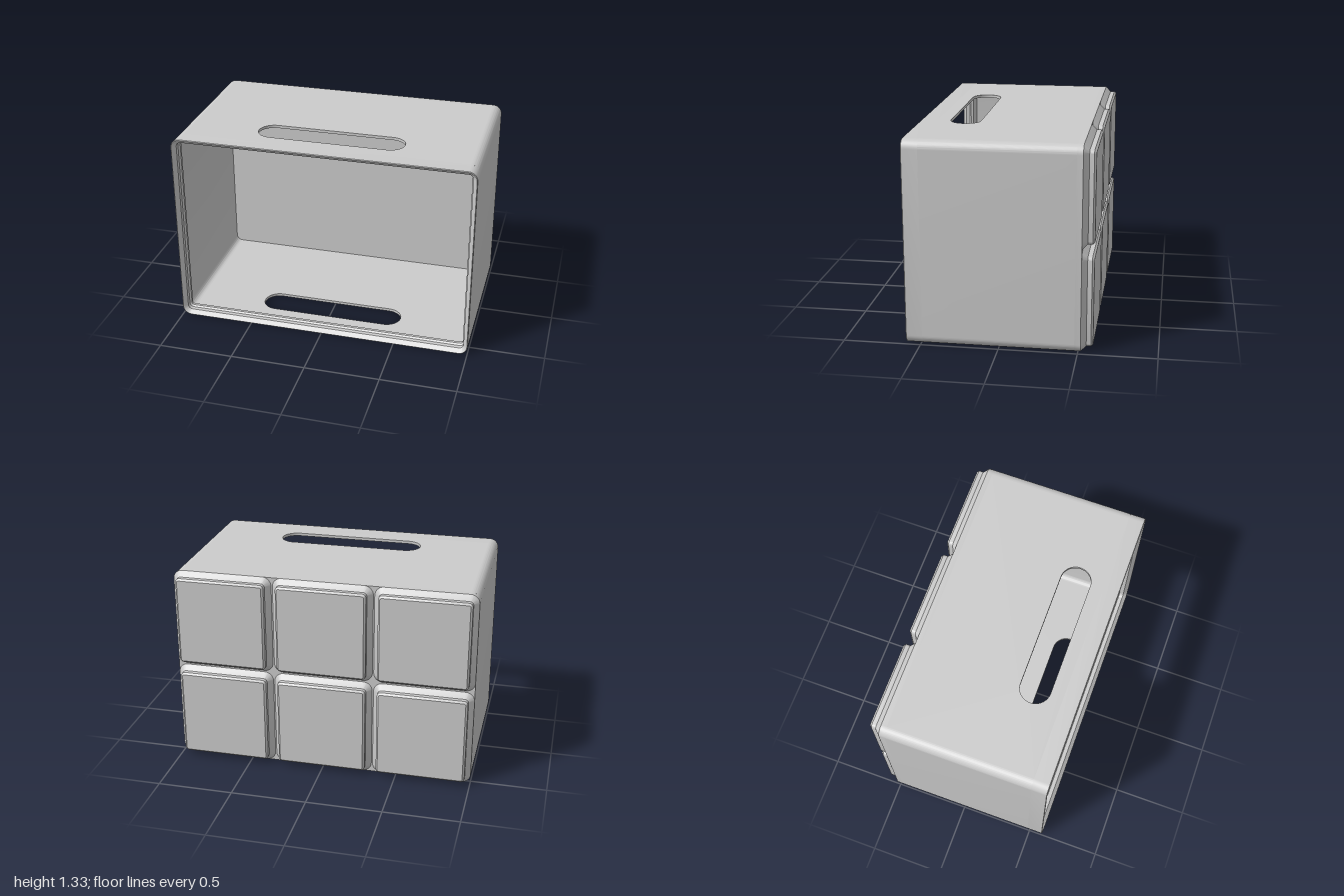
import * as THREE from 'three';
import { toCreasedNormals } from 'three/addons/utils/BufferGeometryUtils.js';

const W = 2, H = 1.332, R = 0.06, T = 0.019;       // outer size, corner radius, wall thickness
const BACK = -0.518, FLOOR = -0.48, LIP = 0.487, FRONT = 0.594;
const material = new THREE.MeshStandardMaterial({ color: 0xcccccc });

// Counter-clockwise rounded rectangle centred on the origin
function ring(w, h, r, steps = 8) {
  const pts = [];
  for (let c = 0; c < 4; c++) {
    const sx = c === 0 || c === 3 ? 1 : -1, sy = c < 2 ? 1 : -1;
    for (let i = 0; i <= steps; i++) {
      const a = (c + i / steps) * Math.PI / 2;
      pts.push([sx * (w / 2 - r) + r * Math.cos(a), sy * (h / 2 - r) + r * Math.sin(a)]);
    }
  }
  return pts;
}

// Sweeps a profile of [inset, z] around a rounded rectangle, from back to front outside
function loft(w, h, profile, { backCap = false, frontCap = false } = {}) {
  const rings = profile.map(([d, z]) => ring(w - 2 * d, h - 2 * d, R - d).map(([x, y]) => [x, y, z]));
  const n = rings[0].length, pos = [];
  const tri = (a, b, c) => pos.push(...a, ...b, ...c);
  const last = rings.length - 1;
  for (let j = 0; j < n; j++) {
    const k = (j + 1) % n;
    for (let i = 0; i < last; i++) {
      tri(rings[i][j], rings[i][k], rings[i + 1][k]);
      tri(rings[i][j], rings[i + 1][k], rings[i + 1][j]);
    }
    if (backCap) tri([0, 0, profile[0][1]], rings[0][k], rings[0][j]);
    if (frontCap) tri([0, 0, profile[last][1]], rings[last][j], rings[last][k]);
  }
  const g = new THREE.BufferGeometry();
  g.setAttribute('position', new THREE.Float32BufferAttribute(pos, 3));
  return toCreasedNormals(g, 0.5);
}

function extrude(shape, depth) {
  return toCreasedNormals(new THREE.ExtrudeGeometry(shape, { depth, bevelEnabled: false, curveSegments: 16 }), 0.5);
}

export function createModel() {
  const model = new THREE.Group();
  const add = (name, geometry, x = 0, y = 0, z = 0) => {
    const mesh = new THREE.Mesh(geometry, material);
    mesh.name = name;
    mesh.position.set(x, y, z);
    model.add(mesh);
    return mesh;
  };

  // Back slab closing the box
  add('backPanel', loft(W, H, [[0, BACK], [0, FLOOR]], { backCap: true, frontCap: true }), 0, H / 2);

  // Stepped feet on the back, three by two
  const foot = loft(0.661, 0.661, [[0.047, -0.594], [0.0343, -0.581], [0.0343, -0.552], [0, BACK]], { backCap: true });
  for (let col = -1; col <= 1; col++)
    for (const row of [-1, 1]) add('foot', foot, col * 0.6695, H / 2 + row * (H / 2 - 0.3305));

  // Stepped rim around the open front, with a sloped underside
  add('frontRim', loft(W, H, [
    [0, LIP], [0, 0.59], [0.004, FRONT], [0.03, 0.568], [0.03, 0.539],
    [0.041, 0.528], [0.041, 0.509], [T, LIP], [0, LIP],
  ]), 0, H / 2);

  // Side walls with the rounded corners, the second turned half a circle
  const cx = W / 2 - R, q = Math.PI / 2;
  const side = new THREE.Shape();
  side.moveTo(cx, 0);
  side.absarc(cx, R, R, -q, 0, false);
  side.absarc(cx, H - R, R, 0, q, false);
  side.absarc(cx, H - R, R - T, q, 0, true);
  side.absarc(cx, R, R - T, 0, -q, true);
  side.closePath();
  const sideGeometry = extrude(side, LIP - FLOOR);
  add('leftWall', sideGeometry, 0, 0, FLOOR);
  add('rightWall', sideGeometry, 0, H, FLOOR).rotation.z = Math.PI;

  // Top and bottom panels, each with a rounded hand slot
  const panel = new THREE.Shape();
  panel.moveTo(-cx, -LIP).lineTo(cx, -LIP).lineTo(cx, -FLOOR).lineTo(-cx, -FLOOR).closePath();
  const slot = new THREE.Path();
  slot.absarc(0.39, -0.302, 0.1, -q, q, false);
  slot.absarc(-0.39, -0.302, 0.1, q, 3 * q, false);
  slot.closePath();
  panel.holes.push(slot);
  const panelGeometry = extrude(panel, T).rotateX(-q);
  add('bottomPanel', panelGeometry);
  add('topPanel', panelGeometry, 0, H - T);

  return model;
}
